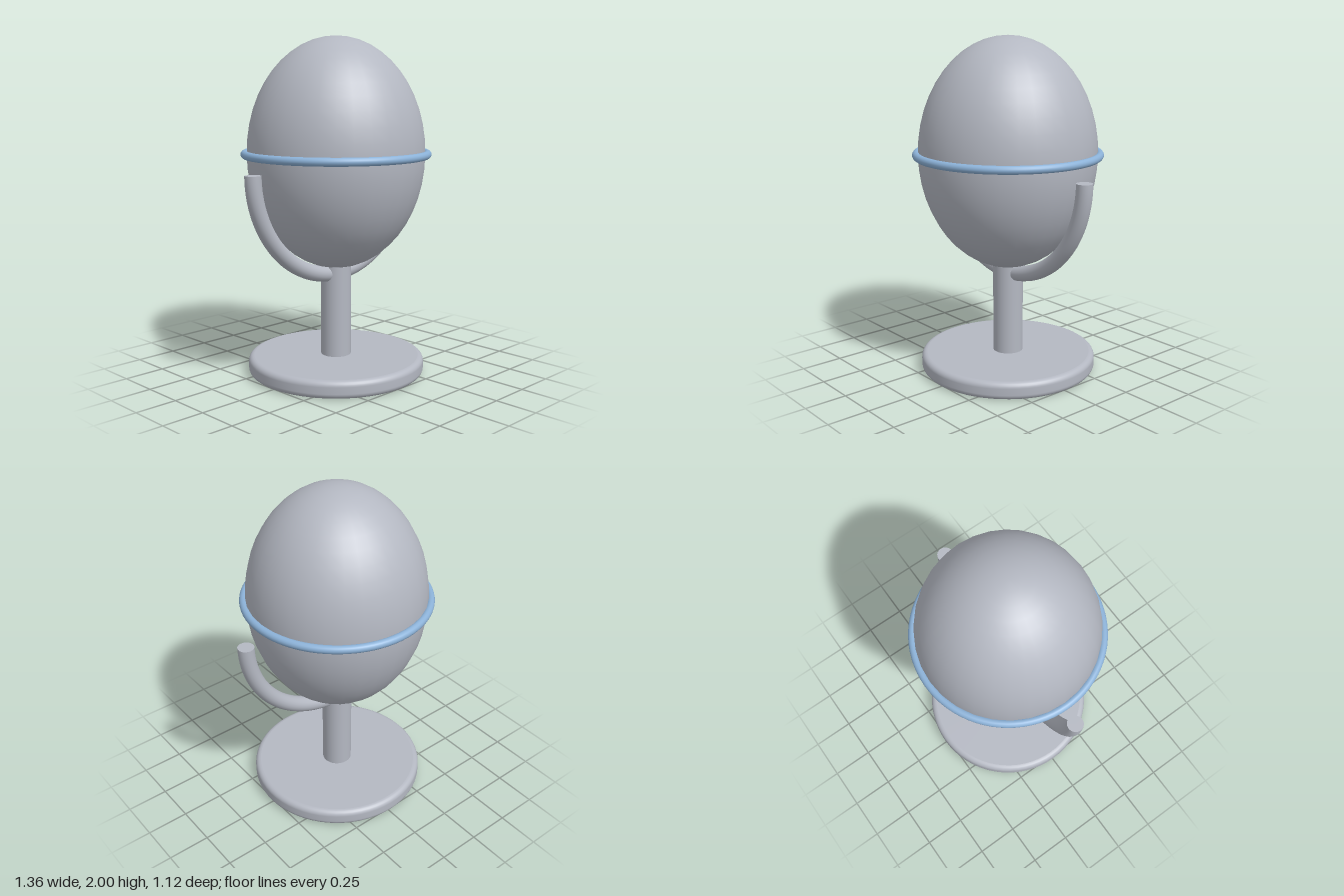
import * as THREE from 'three';

export function createModel() {
  const group = new THREE.Group();
  const grey = new THREE.MeshStandardMaterial({ color: 0xb4b8c2 });
  grey.name = 'grey';
  const blue = new THREE.MeshStandardMaterial({ color: 0x8cb2d8 });
  blue.name = 'blue';

  const add = (name, geometry, material, y = 0) => {
    const mesh = new THREE.Mesh(geometry, material);
    mesh.name = name;
    mesh.position.y = y;
    group.add(mesh);
    return mesh;
  };

  // Round base: flat discs joined by a rounded rim
  const R = 0.527, H = 0.105, r = 0.033;
  const rim = [];
  for (const [cy, start] of [[r, -Math.PI / 2], [H - r, 0]]) {
    for (let i = 0; i <= 6; i++) {
      const a = start + (i / 6) * Math.PI / 2;
      rim.push(new THREE.Vector2(R - r + r * Math.cos(a), cy + r * Math.sin(a)));
    }
  }
  add('baseRim', new THREE.LatheGeometry(rim, 64), grey);
  add('baseTop', new THREE.CircleGeometry(R - r, 64).rotateX(-Math.PI / 2), grey, H);
  add('baseBottom', new THREE.CircleGeometry(R - r, 64).rotateX(Math.PI / 2), grey, 0);

  // Central post
  add('post', new THREE.CylinderGeometry(0.09, 0.09, 0.56, 32), grey, 0.37);

  // Curved arms, mirrored left and right, with flat tips
  const armR = 0.633, tubeR = 0.047, armY = 1.235;
  for (const [side, start] of [['left', 1.5 * Math.PI], ['right', Math.PI]]) {
    const arm = new THREE.TorusGeometry(armR, tubeR, 20, 32, Math.PI / 2).rotateZ(start);
    add(side + 'Arm', arm, grey, armY);
    const tip = new THREE.CircleGeometry(tubeR, 20).rotateX(-Math.PI / 2);
    add(side + 'ArmTip', tip, grey, armY).position.x = side === 'left' ? armR : -armR;
  }

  // Tall globe
  add('globe', new THREE.SphereGeometry(1, 32, 24).scale(0.525, 0.68, 0.525), grey, 1.32);

  // Band around the middle
  add('equatorRing', new THREE.TorusGeometry(0.535, 0.024, 16, 80).rotateX(Math.PI / 2), blue, 1.317);

  return group;
}
